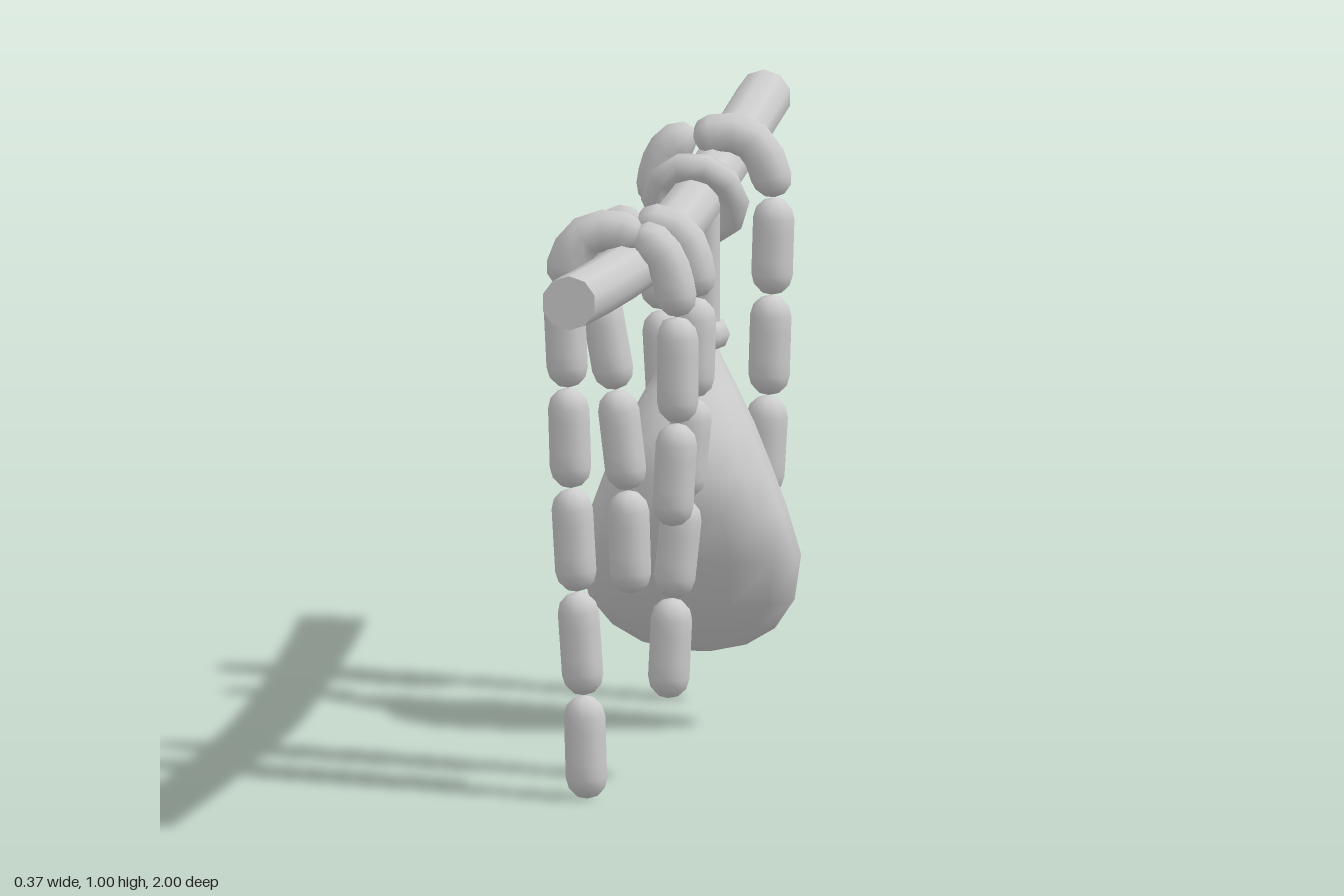
import * as THREE from 'three';

const mat = new THREE.MeshStandardMaterial({ color: 0xcccccc, side: THREE.DoubleSide });
const v2 = (p) => new THREE.Vector2(p[0], p[1]);

function addMesh(parent, geometry, name) {
  const mesh = new THREE.Mesh(geometry, mat);
  mesh.name = name;
  parent.add(mesh);
  return mesh;
}

// A capsule whose long axis is bent along a curve in the xy plane
function sausage(a, b, control) {
  const mid = control || [(a[0] + b[0]) / 2, (a[1] + b[1]) / 2];
  const curve = new THREE.QuadraticBezierCurve(v2(a), v2(mid), v2(b));
  const r = 0.035, len = curve.getLength();
  const g = new THREE.CapsuleGeometry(r, len - 2 * r, 3, 8, 4);
  const pos = g.attributes.position;
  for (let i = 0; i < pos.count; i++) {
    const t = THREE.MathUtils.clamp(pos.getY(i) / len + 0.5, 0, 1);
    const p = curve.getPointAt(t), d = curve.getTangentAt(t);
    const off = pos.getX(i);
    pos.setXYZ(i, p.x + d.y * off, p.y - d.x * off, pos.getZ(i));
  }
  g.computeVertexNormals();
  return g;
}

// Two hanging sides sharing one start point on top of the pole
function sausageString(name, z, sides) {
  const group = new THREE.Group();
  group.name = name;
  group.position.z = z;
  for (const { control, joints } of sides) {
    for (let i = 0; i + 1 < joints.length; i++) {
      addMesh(group, sausage(joints[i], joints[i + 1], i === 0 ? control : null), i === 0 ? 'drapedSausage' : 'hangingSausage');
    }
  }
  return group;
}

// Closed skin over horizontal rings: [y, front z, back z, half width, widest z]
function hamGeometry(rings, n = 14) {
  const pos = [], idx = [];
  for (const [y, front, back, w, wide] of rings) {
    for (let j = 0; j < n; j++) {
      const a = (j / n) * Math.PI * 2;
      const c = Math.cos(a);
      pos.push(w * Math.sin(a), y, wide + c * (c > 0 ? front - wide : wide - back));
    }
  }
  for (let i = 0; i + 1 < rings.length; i++) {
    for (let j = 0; j < n; j++) {
      const k = (j + 1) % n;
      const a = i * n + j, b = i * n + k, c = a + n, d = b + n;
      idx.push(a, c, b, b, c, d);
    }
  }
  // End caps
  const last = (rings.length - 1) * n;
  for (let j = 1; j + 1 < n; j++) {
    idx.push(0, j, j + 1, last, last + j + 1, last + j);
  }
  const g = new THREE.BufferGeometry();
  g.setAttribute('position', new THREE.Float32BufferAttribute(pos, 3));
  g.setIndex(idx);
  g.computeVertexNormals();
  return g;
}

export function createModel() {
  const model = new THREE.Group();
  model.name = 'hangingMeatPole';

  // Sagging pole
  const pole = new THREE.CylinderGeometry(0.046, 0.046, 2, 10, 8);
  pole.rotateX(Math.PI / 2);
  const pp = pole.attributes.position;
  for (let i = 0; i < pp.count; i++) {
    const z = Math.abs(pp.getZ(i));
    pp.setY(i, pp.getY(i) + 0.876 + 0.064 * Math.pow(z, 1.5));
  }
  addMesh(model, pole, 'pole');

  // Sausage strings
  model.add(sausageString('frontSausageString', 0.43, [
    { control: [-0.09, 1.0], joints: [[0.03, 0.95], [-0.103, 0.865], [-0.095, 0.695], [-0.09, 0.525], [-0.08, 0.35], [-0.068, 0.175], [-0.063, 0]] },
    { control: [0.085, 0.95], joints: [[0.015, 0.955], [0.09, 0.82], [0.09, 0.64], [0.08, 0.465]] },
  ]));
  model.add(sausageString('middleSausageString', 0.24, [
    { control: [-0.09, 0.96], joints: [[0, 0.935], [-0.075, 0.83], [-0.045, 0.66], [-0.025, 0.49], [-0.02, 0.315]] },
    { control: [0.09, 0.97], joints: [[-0.01, 0.935], [0.09, 0.82], [0.085, 0.65], [0.068, 0.48], [0.05, 0.31], [0.042, 0.14]] },
  ]));
  model.add(sausageString('backSausageString', -0.5, [
    { control: [0.085, 1.01], joints: [[-0.035, 0.95], [0.1, 0.86], [0.095, 0.695], [0.09, 0.525], [0.08, 0.355], [0.075, 0.18]] },
    { control: [-0.1, 0.96], joints: [[-0.03, 0.955], [-0.1, 0.84], [-0.09, 0.665], [-0.08, 0.49]] },
  ]));

  // Ham
  const ham = new THREE.Group();
  ham.name = 'ham';
  model.add(ham);
  addMesh(ham, hamGeometry([
    [0.68, -0.255, -0.31, 0.03, -0.28],
    [0.63, -0.24, -0.325, 0.045, -0.28],
    [0.58, -0.185, -0.34, 0.075, -0.26],
    [0.52, -0.13, -0.355, 0.108, -0.24],
    [0.45, -0.105, -0.37, 0.138, -0.23],
    [0.38, -0.117, -0.367, 0.165, -0.23],
    [0.3, -0.15, -0.357, 0.19, -0.23],
    [0.22, -0.195, -0.352, 0.175, -0.26],
    [0.17, -0.24, -0.34, 0.14, -0.285],
    [0.14, -0.27, -0.318, 0.09, -0.29],
    [0.127, -0.285, -0.298, 0.03, -0.29],
  ]), 'hamBody');

  // Cord tied round the neck, knot, hanging cord and loop over the pole
  const neckTie = addMesh(ham, new THREE.TorusGeometry(0.033, 0.028, 8, 12), 'neckTie');
  neckTie.rotation.x = Math.PI / 2;
  neckTie.position.set(0, 0.665, -0.283);

  const knot = addMesh(ham, new THREE.SphereGeometry(0.032, 8, 6), 'knot');
  knot.scale.set(0.85, 1.25, 1);
  knot.position.set(-0.015, 0.722, -0.283);

  const cord = addMesh(ham, new THREE.CylinderGeometry(0.022, 0.022, 0.19, 8), 'hangingCord');
  cord.position.set(0.023, 0.775, -0.278);

  const loop = addMesh(ham, new THREE.TorusGeometry(0.066, 0.026, 8, 10), 'poleLoop');
  loop.rotation.x = 0.4;
  loop.position.set(0, 0.888, -0.295);

  return model;
}
